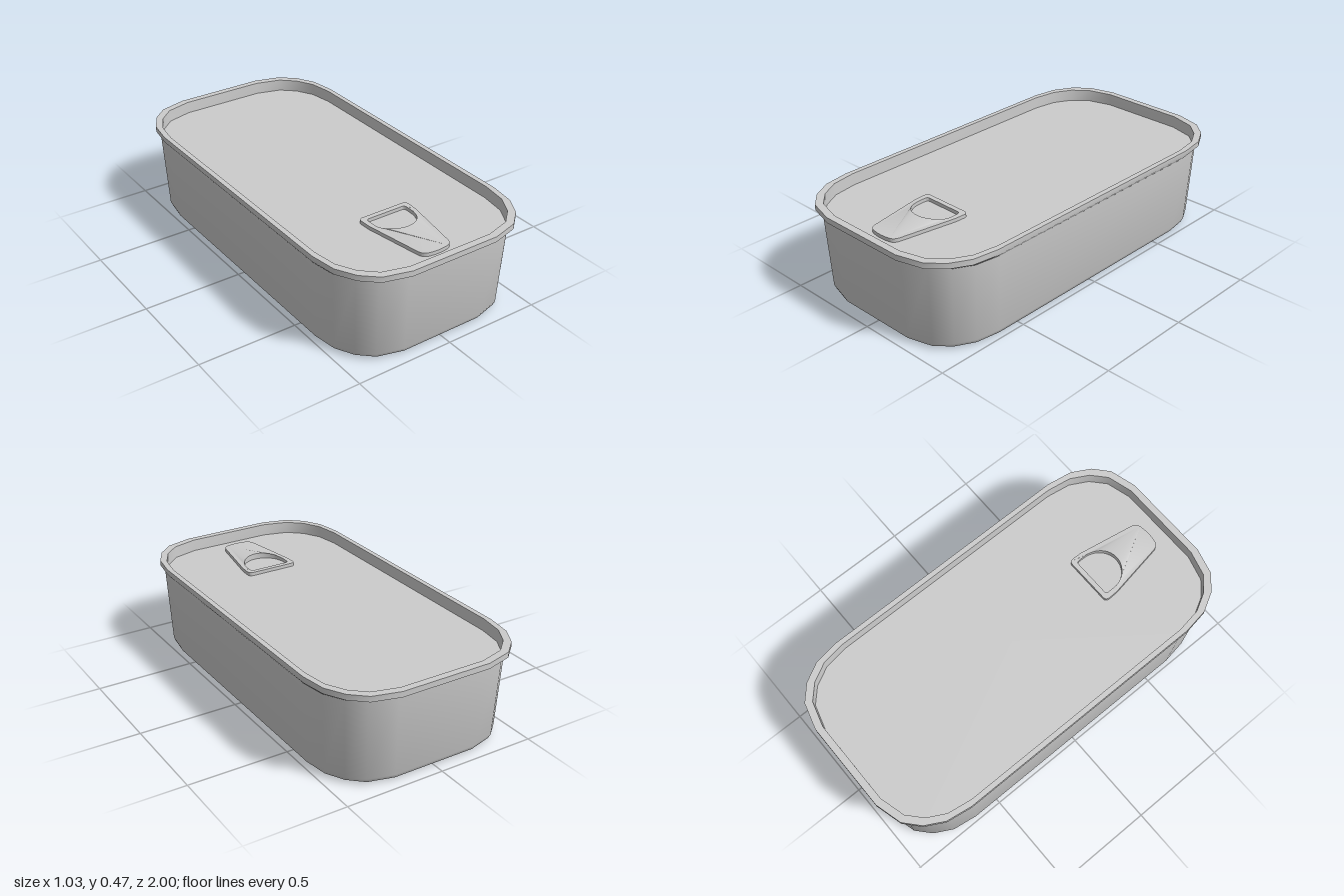
import * as THREE from 'three';
import { toCreasedNormals } from 'three/addons/utils/BufferGeometryUtils.js';

const grey = new THREE.MeshStandardMaterial({ color: 0xcccccc });

// One rounded corner of the tin, as fractions of its half width and half length
const corner = [[1, 0.67], [0.961, 0.8], [0.86, 0.895], [0.713, 0.963], [0.45, 1]];

// Full outline: the corner mirrored into four quadrants
function outline(hx, hz) {
  const pts = [];
  for (const [sx, sz] of [[1, 1], [-1, 1], [-1, -1], [1, -1]]) {
    const c = sx * sz > 0 ? corner : [...corner].reverse();
    for (const [x, z] of c) pts.push([sx * x * hx, sz * z * hz]);
  }
  return pts;
}

// Skins rings given as [half width, half length, height]; a zero ring closes the end
function skin(name, rings) {
  const pos = [], idx = [], n = corner.length * 4;
  for (const [hx, hz, y] of rings)
    for (const [x, z] of outline(hx, hz)) pos.push(x, y, z);
  for (let r = 0; r < rings.length - 1; r++) {
    for (let i = 0; i < n; i++) {
      const a = r * n + i, b = r * n + (i + 1) % n, c = a + n, d = b + n;
      if (rings[r][0] > 0) idx.push(a, c, b);
      if (rings[r + 1][0] > 0) idx.push(b, c, d);
    }
  }
  const geo = new THREE.BufferGeometry();
  geo.setAttribute('position', new THREE.Float32BufferAttribute(pos, 3));
  geo.setIndex(idx);
  const mesh = new THREE.Mesh(toCreasedNormals(geo, 0.65), grey);
  mesh.name = name;
  return mesh;
}

// Pull tab: tapered plate with a D-shaped finger hole, drawn in x and z
function pullTab(lidY) {
  const s = new THREE.Shape();
  s.moveTo(-0.115, 0.485);
  s.lineTo(0.115, 0.485);
  s.quadraticCurveTo(0.137, 0.485, 0.137, 0.51);
  s.lineTo(0.135, 0.56);
  s.lineTo(0.085, 0.85);
  s.quadraticCurveTo(0.078, 0.88, 0.05, 0.885);
  s.quadraticCurveTo(0, 0.895, -0.05, 0.885);
  s.quadraticCurveTo(-0.078, 0.88, -0.085, 0.85);
  s.lineTo(-0.135, 0.56);
  s.lineTo(-0.137, 0.51);
  s.quadraticCurveTo(-0.137, 0.485, -0.115, 0.485);

  const hole = new THREE.Path();
  hole.moveTo(-0.095, 0.51);
  hole.lineTo(0.095, 0.51);
  hole.quadraticCurveTo(0.11, 0.51, 0.11, 0.53);
  hole.lineTo(0.11, 0.56);
  hole.absellipse(0, 0.56, 0.11, 0.115, 0, Math.PI, false);
  hole.lineTo(-0.11, 0.53);
  hole.quadraticCurveTo(-0.11, 0.51, -0.095, 0.51);
  s.holes.push(hole);

  const geo = new THREE.ExtrudeGeometry(s, { depth: 0.018, bevelEnabled: false, curveSegments: 10 });
  geo.rotateX(Math.PI / 2);
  geo.translate(0, lidY + 0.02, 0);
  // Raise the curved lip of the finger hole slightly
  const p = geo.attributes.position;
  for (let i = 0; i < p.count; i++) {
    const x = p.getX(i), z = p.getZ(i);
    if (z > 0.59 && z < 0.69 && Math.abs(x) < 0.108 && p.getY(i) > lidY + 0.01)
      p.setY(i, p.getY(i) + 0.012 * (z - 0.59) / 0.085);
  }
  const mesh = new THREE.Mesh(toCreasedNormals(geo, 0.6), grey);
  mesh.name = 'pullTab';
  return mesh;
}

export function createModel() {
  const group = new THREE.Group();
  group.name = 'tin';
  const lidY = 0.415;

  // Flat bottom, rounded lower edge and slightly flared wall
  group.add(skin('body', [
    [0, 0, 0], [0.45, 0.915, 0], [0.464, 0.93, 0.004], [0.476, 0.942, 0.012],
    [0.484, 0.95, 0.032], [0.503, 0.968, 0.435],
  ]));
  // Rolled rim, down to the recessed lid
  group.add(skin('rim', [
    [0.5, 0.965, 0.433], [0.506, 0.973, 0.433], [0.516, 1, 0.447],
    [0.516, 1, 0.475], [0.49, 0.965, 0.475], [0.488, 0.962, lidY],
  ]));
  group.add(skin('lid', [[0.488, 0.962, lidY], [0, 0, lidY]]));
  group.add(pullTab(lidY));
  return group;
}
